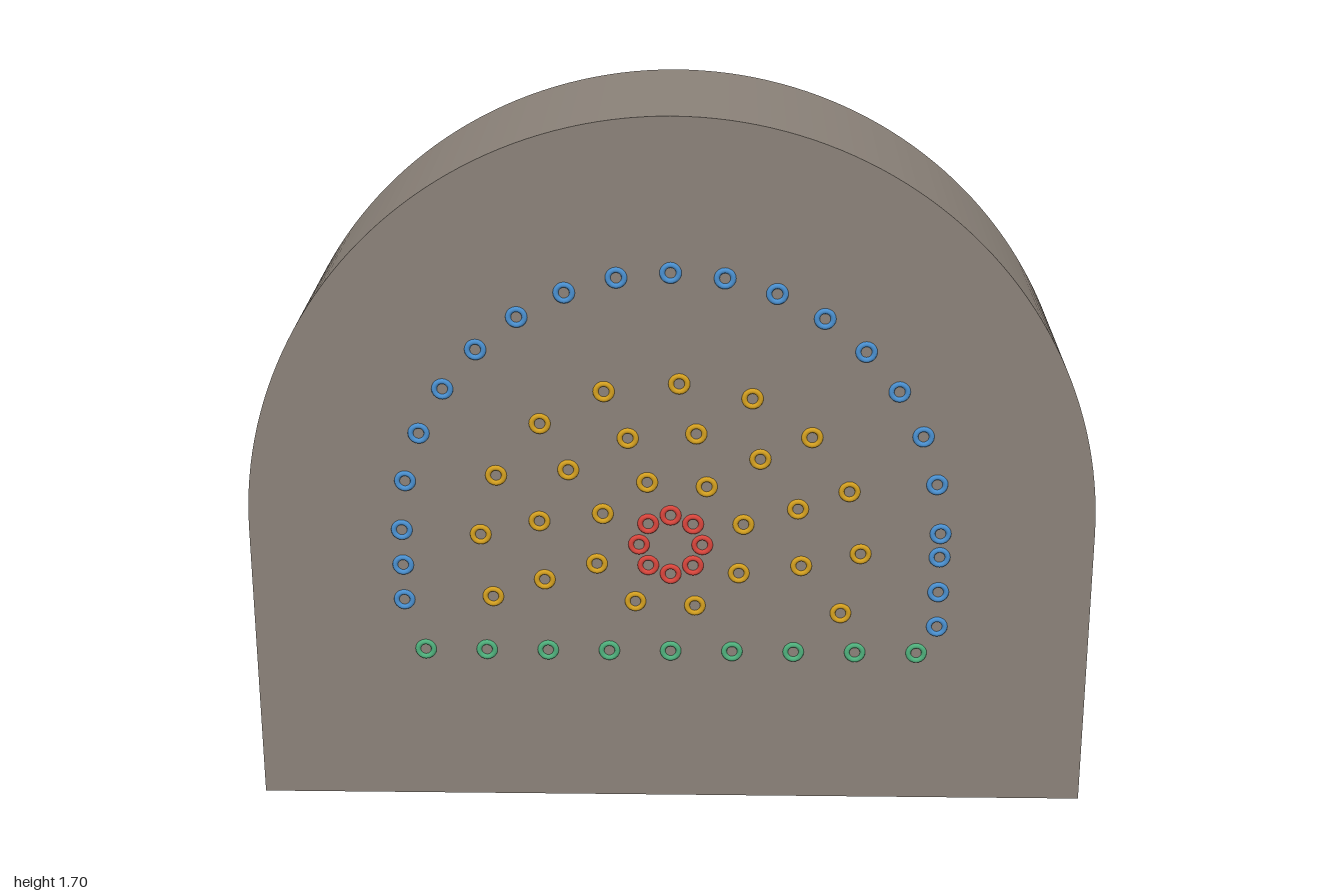
import * as THREE from 'three';

const SPRING = 0.7;    // height where the arch begins
const BACK = -0.253;   // rear plane of the block
const FRONT = 0.247;   // flat front face
const RECESS = 0.35;   // depth of the rear opening

const mat = (name, color) => {
  const m = new THREE.MeshStandardMaterial({ color });
  m.name = name;
  return m;
};

// Straight walls topped by a semicircle
function archOutline(path, radius, floor) {
  path.moveTo(-radius, floor);
  path.lineTo(radius, floor);
  path.lineTo(radius, SPRING);
  path.absarc(0, SPRING, radius, 0, Math.PI, false);
  path.lineTo(-radius, floor);
  return path;
}

function archSlab(name, shape, z, depth, material) {
  const geo = new THREE.ExtrudeGeometry(shape, { depth, bevelEnabled: false, curveSegments: 48 });
  const mesh = new THREE.Mesh(geo, material);
  mesh.position.z = z;
  mesh.name = name;
  return mesh;
}

export function createModel() {
  const model = new THREE.Group();
  model.name = 'tunnelFace';

  const rock = mat('rock brown', 0x8a8178);
  const blue = mat('perimeter blue', 0x4a90d0);
  const yellow = mat('production amber', 0xd4a020);
  const red = mat('cut red', 0xd9453c);
  const green = mat('floor green', 0x4fb07c);

  // Hollow lining behind a solid front wall
  const lining = archOutline(new THREE.Shape(), 1, 0);
  lining.holes.push(archOutline(new THREE.Path(), 0.667, 0.333));
  model.add(archSlab('lining', lining, BACK, RECESS, rock));
  model.add(archSlab('frontWall', archOutline(new THREE.Shape(), 1, 0), BACK + RECESS, FRONT - BACK - RECESS, rock));

  // Drill hole collars, half sunk into the front face
  const collar = new THREE.TorusGeometry(0.019, 0.0065, 8, 20);
  const addCollars = (name, points, material) => {
    const group = new THREE.Group();
    group.name = name;
    for (const [x, y] of points) {
      const ring = new THREE.Mesh(collar, material);
      ring.name = 'holeCollar';
      ring.position.set(x, y, FRONT);
      group.add(ring);
    }
    model.add(group);
  };

  // Perimeter: arch row plus the wall holes
  const perimeter = [];
  for (let i = 0; i <= 16; i++) {
    const a = (i * Math.PI) / 16;
    perimeter.push([0.637 * Math.cos(a), SPRING + 0.637 * Math.sin(a)]);
  }
  for (const y of [0.61, 0.52]) perimeter.push([-0.637, y]);
  for (const y of [0.64, 0.55, 0.46]) perimeter.push([0.637, y]);
  addCollars('perimeterHoles', perimeter, blue);

  // Floor row
  const floor = [];
  for (let i = -4; i <= 4; i++) floor.push([i * 0.1475, 0.39]);
  addCollars('floorHoles', floor, green);

  // Central cut ring
  const cut = [];
  for (let i = 0; i < 8; i++) {
    const a = (i * Math.PI) / 4;
    cut.push([0.075 * Math.cos(a), 0.667 + 0.075 * Math.sin(a)]);
  }
  addCollars('cutHoles', cut, red);

  // Scattered production holes
  addCollars('productionHoles', [
    [0.02, 1.07], [-0.155, 1.05], [0.19, 1.035], [-0.305, 0.97], [-0.1, 0.935],
    [0.06, 0.947], [0.33, 0.94], [0.21, 0.885], [-0.41, 0.84], [-0.24, 0.855],
    [-0.055, 0.825], [0.085, 0.815], [0.42, 0.805], [0.3, 0.76], [-0.16, 0.745],
    [-0.31, 0.725], [0.172, 0.72], [-0.45, 0.69], [-0.175, 0.617], [0.162, 0.595],
    [0.31, 0.615], [0.45, 0.647], [-0.3, 0.575], [-0.424, 0.53], [-0.084, 0.52],
    [0.058, 0.51], [0.406, 0.493],
  ], yellow);

  return model;
}
